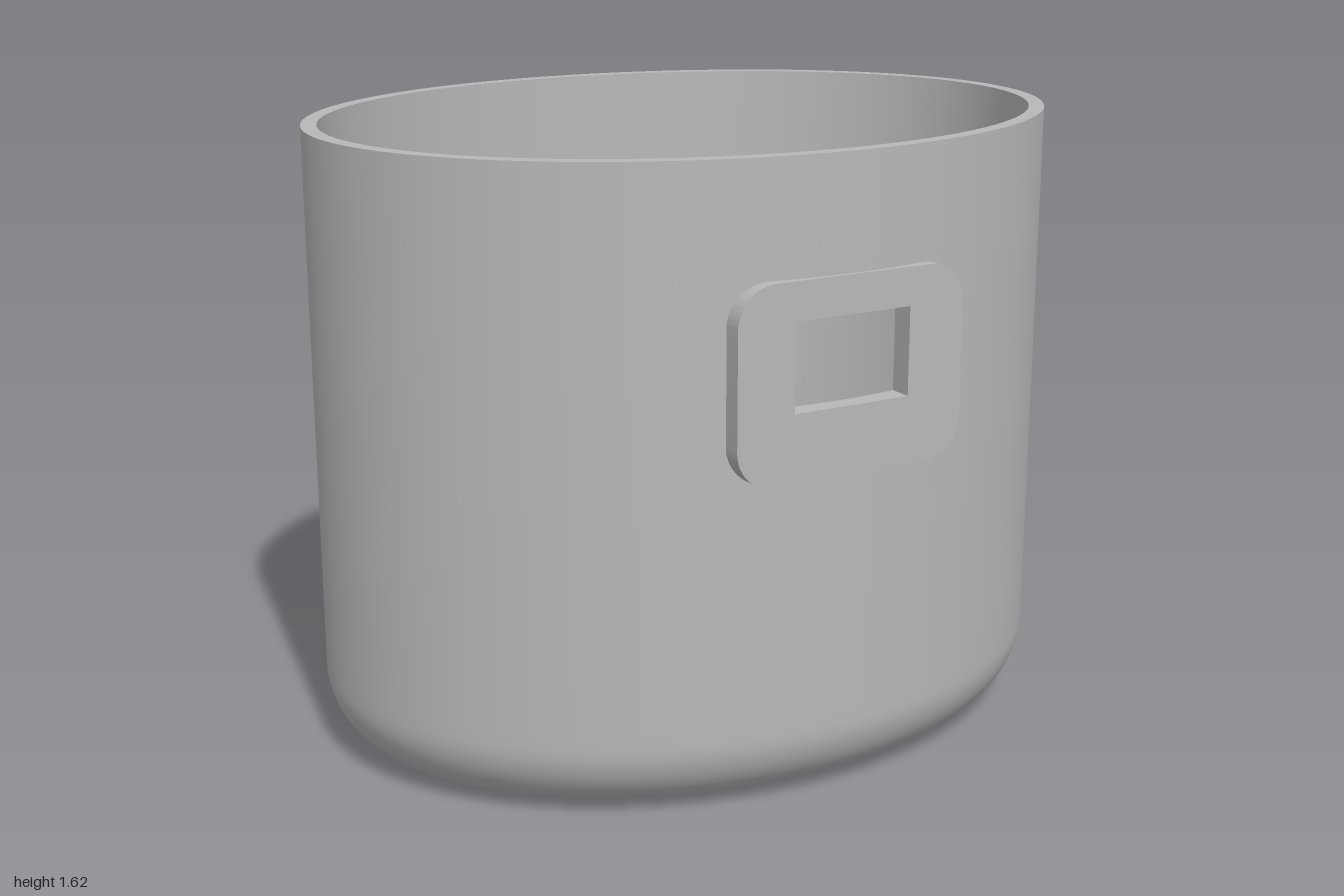
import * as THREE from 'three';
import { toCreasedNormals } from 'three/addons/utils/BufferGeometryUtils.js';

const A = 1, B = 0.785, ZC = -0.005;        // oval radii and centre
const H = 1.615, T = 0.04, R = 0.2;         // height, wall thickness, bottom rounding
const WINDOW = { x: 0.16, y0: 1.015, y1: 1.235 };
const SLOT = { x: 0.1, y0: 0.235, y1: 0.365 };

// Columns around the oval: window span, side, slot span, side
const SPANS = [8, 56, 6, 56];
const COLS = SPANS.reduce((a, b) => a + b);
const spanOf = (i) => (i < 8 ? 0 : i < 64 ? 1 : i < 70 ? 2 : 3);

// Point on the oval inset by d; columns at the openings keep the same x on both skins
function ringPoint(i, d, y) {
  const tw = Math.asin(WINDOW.x / (A - d)), ts = Math.asin(SLOT.x / (A - d));
  const stops = [-tw, tw, Math.PI - ts, Math.PI + ts, 2 * Math.PI - tw];
  let k = i % COLS, s = 0;
  while (k >= SPANS[s]) k -= SPANS[s++];
  const t = stops[s] + (stops[s + 1] - stops[s]) * k / SPANS[s];
  return [(A - d) * Math.sin(t), y, ZC + (B - d) * Math.cos(t)];
}

function shellGeometry() {
  // Profile of inset and height: outside from bottom to rim, then down the inside
  const profile = [];
  const N = 16;
  for (let k = 0; k <= N; k++) {
    const a = k / N * Math.PI / 2;
    profile.push([R - R * Math.sin(a), R - R * Math.cos(a)]);
  }
  const rows = [SLOT.y0, SLOT.y1, WINDOW.y0, WINDOW.y1, H];
  rows.forEach((y) => profile.push([0, y]));
  [...rows].reverse().forEach((y) => profile.push([T, y]));
  for (let k = N; k >= 0; k--) {
    const a = k / N * Math.PI / 2, r = R - T;
    profile.push([R - r * Math.sin(a), R - r * Math.cos(a)]);
  }

  const pos = [];
  const tri = (a, b, c) => pos.push(...a, ...b, ...c);
  const quad = (a, b, c, d) => { tri(a, b, c); tri(a, c, d); };
  const isHole = (i, ya, yb) => {
    const hole = { 0: WINDOW, 2: SLOT }[spanOf(i)];
    return hole && Math.min(ya, yb) === hole.y0 && Math.max(ya, yb) === hole.y1;
  };

  for (let i = 0; i < COLS; i++) {
    for (let j = 0; j < profile.length - 1; j++) {
      const [d0, y0] = profile[j], [d1, y1] = profile[j + 1];
      if (isHole(i, y0, y1)) continue;
      quad(ringPoint(i, d0, y0), ringPoint(i + 1, d0, y0), ringPoint(i + 1, d1, y1), ringPoint(i, d1, y1));
    }
    // Underside and inside floor
    tri([0, 0, ZC], ringPoint(i + 1, R, 0), ringPoint(i, R, 0));
    tri([0, T, ZC], ringPoint(i, R, T), ringPoint(i + 1, R, T));
  }

  // Inner edges of the two openings
  const reveal = (i, yi, k, yk) =>
    quad(ringPoint(i, 0, yi), ringPoint(k, 0, yk), ringPoint(k, T, yk), ringPoint(i, T, yi));
  for (const [hole, from, to] of [[WINDOW, 0, 8], [SLOT, 64, 70]]) {
    for (let i = from; i < to; i++) {
      reveal(i, hole.y0, i + 1, hole.y0);
      reveal(i + 1, hole.y1, i, hole.y1);
    }
    reveal(to, hole.y0, to, hole.y1);
    reveal(from, hole.y1, from, hole.y0);
  }

  const g = new THREE.BufferGeometry();
  g.setAttribute('position', new THREE.Float32BufferAttribute(pos, 3));
  return toCreasedNormals(g, Math.PI / 6);
}

// Rounded flat frame around the window
function frameGeometry() {
  const w = 0.315, y0 = 0.845, y1 = 1.33, r = 0.1;
  const s = new THREE.Shape();
  s.absarc(w - r, y0 + r, r, -Math.PI / 2, 0);
  s.absarc(w - r, y1 - r, r, 0, Math.PI / 2);
  s.absarc(-w + r, y1 - r, r, Math.PI / 2, Math.PI);
  s.absarc(-w + r, y0 + r, r, Math.PI, Math.PI * 1.5);
  s.closePath();
  const { x, y0: b, y1: t } = WINDOW;
  s.holes.push(new THREE.Path([[-x, b], [-x, t], [x, t], [x, b]].map((p) => new THREE.Vector2(...p))));
  const g = new THREE.ExtrudeGeometry(s, { depth: 0.05, bevelEnabled: false, curveSegments: 12 });
  g.translate(0, 0, 0.74);
  return toCreasedNormals(g, Math.PI / 6);
}

// Small block standing on the floor, cut to follow the rounded bottom
function supportGeometry() {
  const pts = [[0, 0.035], [0.03, 0.035], [0.13, 0.11], [0.13, 0.22], [0, 0.22]];
  const s = new THREE.Shape(pts.map((p) => new THREE.Vector2(...p)));
  const g = new THREE.ExtrudeGeometry(s, { depth: 0.134, bevelEnabled: false });
  g.translate(0, 0, -0.067);
  return g;
}

export function createModel() {
  const group = new THREE.Group();
  const grey = new THREE.MeshStandardMaterial({ color: 0xb8b8b8 });
  grey.name = 'plain grey';

  const add = (name, geometry) => {
    const m = new THREE.Mesh(geometry, grey);
    m.name = name;
    group.add(m);
    return m;
  };

  add('ovalShell', shellGeometry());
  add('windowFrame', frameGeometry());

  const support = supportGeometry();
  for (const sx of [-1, 1]) {
    for (const sz of [-1, 1]) {
      const m = add('innerSupport', support);
      m.position.set(sx * 0.61, 0, ZC + sz * 0.43);
      m.rotation.y = Math.atan2(-sz * 0.78, sx * 0.62);
    }
  }
  return group;
}
